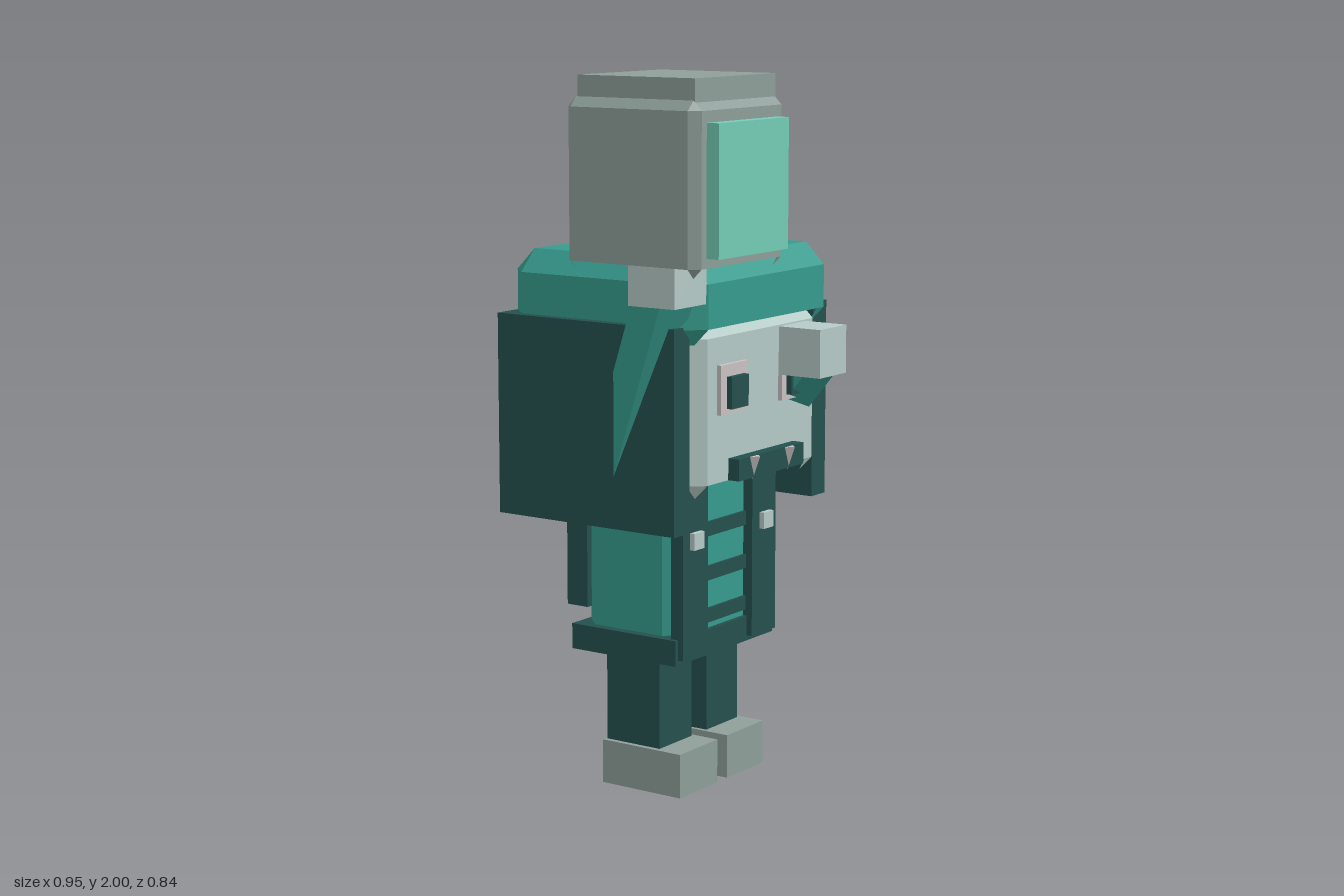
import * as THREE from 'three';

const paint = (name, color, side = THREE.FrontSide) => {
  const m = new THREE.MeshStandardMaterial({ color, side, flatShading: true });
  m.name = name;
  return m;
};

// Box with bevelled top and upright edges; small bevel tips hang below each corner
function bevelBox(x0, x1, y0, y1, z0, z1, b) {
  const low = [], mid = [], top = [], tip = [], pos = [];
  const corners = [[1, -1], [-1, -1], [-1, 1], [1, 1]];
  corners.forEach(([sx, sz], i) => {
    const ex = sx > 0 ? x1 : x0, ez = sz > 0 ? z1 : z0;
    const ix = ex - sx * b, iz = ez - sz * b;
    const pair = [[ex, iz], [ix, ez]];
    if (i % 2) pair.reverse();
    pair.forEach(([x, z]) => {
      low.push([x, y0, z]);
      mid.push([x, y1 - b, z]);
      top.push([ix, y1, iz]);
    });
    tip.push([ix, y0 - b, iz]);
  });
  const tri = (...p) => p.forEach((v) => pos.push(...v));
  for (let i = 0; i < 8; i++) {
    const j = (i + 1) % 8;
    tri(low[i], low[j], mid[j]);
    tri(low[i], mid[j], mid[i]);
    tri(mid[i], mid[j], top[j]);
    if (i % 2) tri(mid[i], top[j], top[i]);
    else tri(low[j], low[i], tip[i / 2]);
    if (i > 0 && i < 7) tri(low[0], low[i + 1], low[i]);
  }
  tri(top[0], top[2], top[4]);
  tri(top[0], top[4], top[6]);
  const g = new THREE.BufferGeometry();
  g.setAttribute('position', new THREE.Float32BufferAttribute(pos, 3));
  g.computeVertexNormals();
  return g;
}

export function createModel() {
  const root = new THREE.Group();
  root.name = 'figure';
  const teal = paint('teal', 0x369b8d, THREE.DoubleSide);
  const dark = paint('dark teal', 0x24504e);
  const pale = paint('pale skin', 0xb6cbc7, THREE.DoubleSide);
  const grey = paint('grey', 0x8f9f9a, THREE.DoubleSide);
  const mint = paint('mint', 0x74cdb6);
  const bone = paint('bone', 0xc9c2c4);
  const MID = 0.1; // centre line of the body

  const add = (name, geo, mat) => {
    const m = new THREE.Mesh(geo, mat);
    m.name = name;
    root.add(m);
    return m;
  };
  const box = (name, mat, x0, x1, y0, y1, z0, z1) => {
    const m = add(name, new THREE.BoxGeometry(x1 - x0, y1 - y0, z1 - z0), mat);
    m.position.set((x0 + x1) / 2, (y0 + y1) / 2, (z0 + z1) / 2);
    return m;
  };
  const bevel = (name, mat, ...d) => add(name, bevelBox(...d), mat);
  // Same box on both sides of the centre line, given as distances from it
  const pair = (name, mat, a, b, ...yz) => {
    box('left' + name, mat, MID + a, MID + b, ...yz);
    box('right' + name, mat, MID - b, MID - a, ...yz);
  };

  // Legs and feet
  pair('Foot', grey, 0.025, 0.208, 0, 0.125, -0.185, 0.08);
  pair('Leg', dark, 0.037, 0.193, 0.12, 0.37, -0.18, 0);

  // Torso, belt and open coat
  bevel('torso', teal, -0.115, 0.315, 0.41, 0.92, -0.255, 0.075, 0.05);
  box('belt', dark, -0.142, 0.343, 0.385, 0.457, -0.265, 0.088);
  pair('CoatFront', dark, 0.11, 0.23, 0.4, 0.91, 0.065, 0.105);
  box('coatBack', dark, -0.09, 0.285, 0.495, 0.9, -0.32, -0.25);
  pair('Button', pale, 0.148, 0.196, 0.705, 0.752, 0.1, 0.12);
  for (const y of [0.495, 0.615, 0.74, 0.895])
    box('shirtStripe', dark, -0.012, 0.212, y - 0.02, y + 0.02, 0.07, 0.084);

  // Head, cap and hood panels
  bevel('head', pale, -0.2, 0.4, 0.905, 1.34, -0.36, 0.205, 0.04);
  bevel('cap', teal, -0.245, 0.445, 1.33, 1.51, -0.412, 0.225, 0.06);
  pair('HoodSide', dark, 0.305, 0.375, 0.78, 1.337, -0.412, 0.178);
  box('hoodBack', dark, -0.245, 0.445, 0.782, 1.335, -0.422, -0.35);

  // Face
  pair('EyeFrame', bone, 0.085, 0.215, 1.09, 1.225, 0.2, 0.218);
  pair('Pupil', dark, 0.107, 0.187, 1.105, 1.192, 0.21, 0.235);
  box('jaw', dark, -0.06, 0.262, 0.905, 0.965, 0.19, 0.24);
  for (const x of [0.013, 0.187]) {
    const tooth = add('tooth', new THREE.ConeGeometry(0.024, 0.065, 4), bone);
    tooth.rotation.x = Math.PI;
    tooth.position.set(x, 0.932, 0.236);
  }

  // Arms run from shoulder to wrist
  const arm = (name, from, to) => {
    const a = new THREE.Vector3(...from), b = new THREE.Vector3(...to);
    const m = add(name, new THREE.BoxGeometry(0.11, 0.11, a.distanceTo(b)), teal);
    m.position.copy(a).add(b).multiplyScalar(0.5);
    m.lookAt(b);
  };
  arm('rightArm', [-0.2, 0.88, -0.08], [-0.268, 1.45, 0.15]);
  arm('leftArm', [0.38, 0.9, -0.04], [0.265, 1.2, 0.26]);
  box('leftHand', pale, 0.18, 0.315, 1.163, 1.297, 0.21, 0.343);
  box('rightHand', pale, -0.345, -0.2, 1.4, 1.535, 0.08, 0.228);

  // Lantern held overhead
  bevel('lanternBody', grey, -0.475, -0.062, 1.525, 1.945, -0.03, 0.385, 0.025);
  box('lanternCap', grey, -0.45, -0.085, 1.94, 2, 0, 0.365);
  box('lanternPane', mint, -0.428, -0.108, 1.55, 1.89, 0.35, 0.422);
  return root;
}
